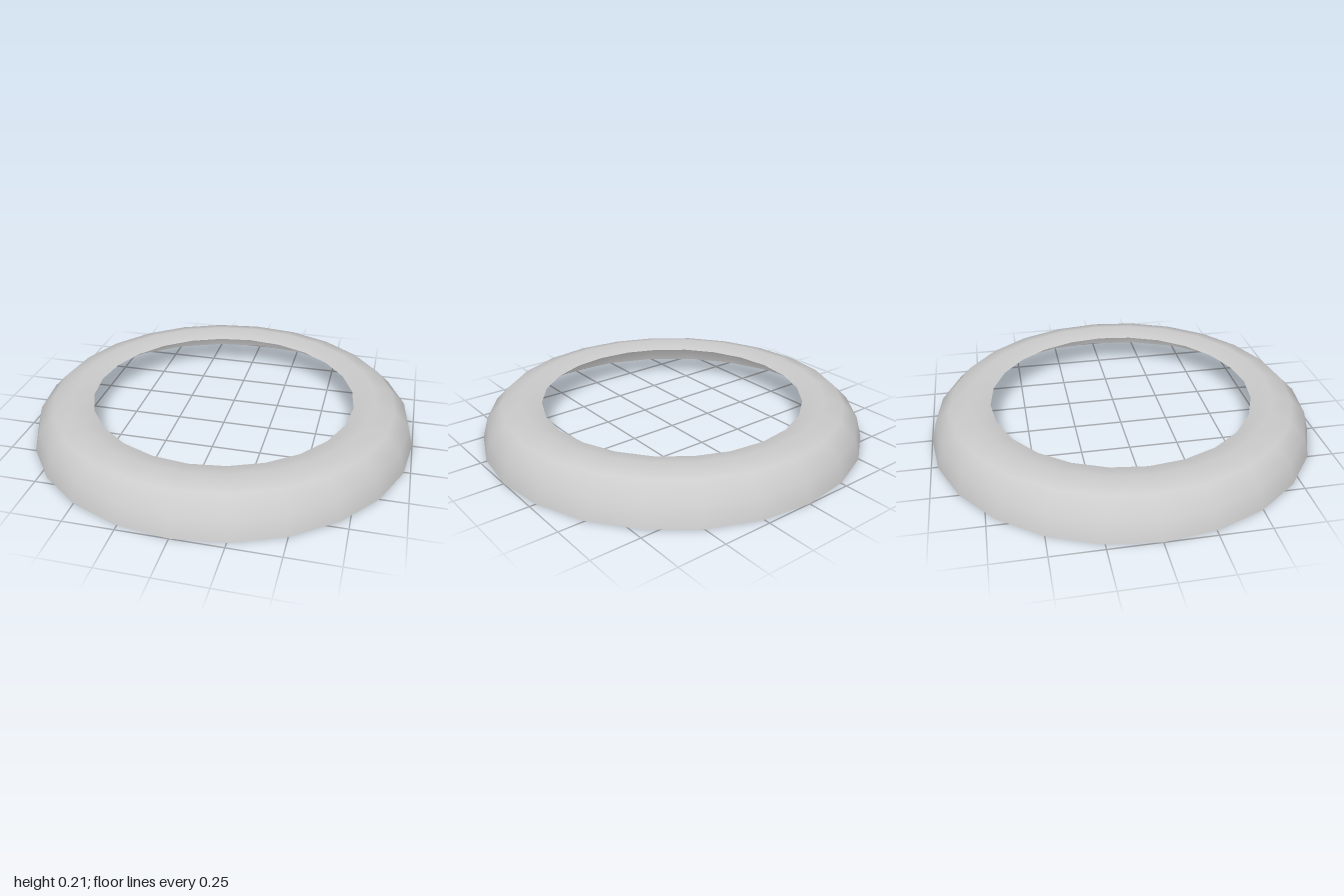
import * as THREE from 'three';

const TUBE = 0.21;      // radius of the rounded section
const CENTRE = 0.79;    // distance of the section's centre from the axis
const STEPS = 4;        // 30 degree steps, from the foot over the crest to the inner lip

export function createModel() {
  const group = new THREE.Group();
  group.name = 'ring';

  // Open arc of the section: outer foot, crest, inner lip
  const profile = [];
  for (let i = 0; i <= STEPS; i++) {
    const a = (i * Math.PI) / 6;
    profile.push(new THREE.Vector2(CENTRE + TUBE * Math.cos(a), TUBE * Math.sin(a)));
  }

  // Thin smooth shell, open underneath
  const shell = new THREE.Mesh(
    new THREE.LatheGeometry(profile, 24),
    new THREE.MeshStandardMaterial({ color: 0xcccccc, side: THREE.DoubleSide })
  );
  shell.name = 'ringShell';
  group.add(shell);
  return group;
}
